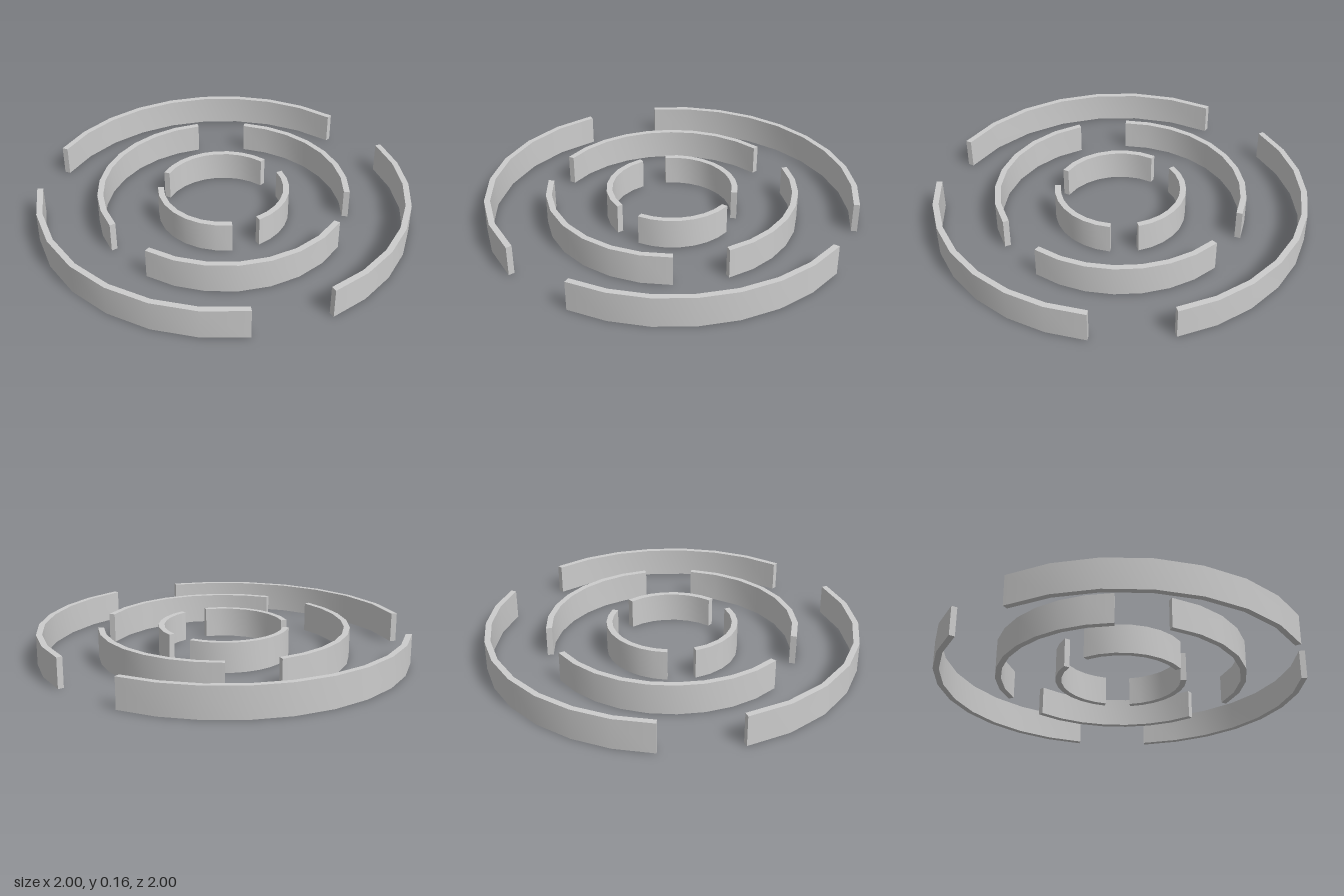
import * as THREE from 'three';
import { toCreasedNormals } from 'three/addons/utils/BufferGeometryUtils.js';

const HEIGHT = 0.162;
const THICKNESS = 0.032;

// One curved wall: a faceted arc band in plan, raised to the wall height.
function arcWall(radius, startDeg, sweepDeg, segments) {
  const points = [];
  const addPoint = (r, i) => {
    const a = THREE.MathUtils.degToRad(startDeg + (sweepDeg * i) / segments);
    points.push(new THREE.Vector2(r * Math.cos(a), r * Math.sin(a)));
  };
  for (let i = 0; i <= segments; i++) addPoint(radius, i);
  for (let i = segments; i >= 0; i--) addPoint(radius - THICKNESS, i);
  const geometry = new THREE.ExtrudeGeometry(new THREE.Shape(points), { depth: HEIGHT, bevelEnabled: false });
  geometry.rotateX(-Math.PI / 2);
  return toCreasedNormals(geometry, 0.6);
}

export function createModel() {
  const model = new THREE.Group();
  model.name = 'concentricWalls';
  const material = new THREE.MeshStandardMaterial({ color: 0xcccccc });

  // Every ring has the same three walls, separated by equal gaps
  const walls = [
    { name: 'LongWall', start: 90, sweep: 108, segments: 9 },
    { name: 'MediumWall', start: 222, sweep: 96, segments: 7 },
    { name: 'ShortWall', start: -18, sweep: 84, segments: 7 },
  ];

  // The middle ring is turned so that its gaps are staggered
  const rings = [
    { name: 'outer', radius: 1.0036, turn: 0 },
    { name: 'middle', radius: 0.679, turn: 54 },
    { name: 'inner', radius: 0.355, turn: 0 },
  ];

  for (const ring of rings) {
    const group = new THREE.Group();
    group.name = ring.name + 'Ring';
    for (const w of walls) {
      const mesh = new THREE.Mesh(arcWall(ring.radius, w.start + ring.turn, w.sweep, w.segments), material);
      mesh.name = ring.name + w.name;
      group.add(mesh);
    }
    group.position.z = 0.0036;
    model.add(group);
  }
  return model;
}
